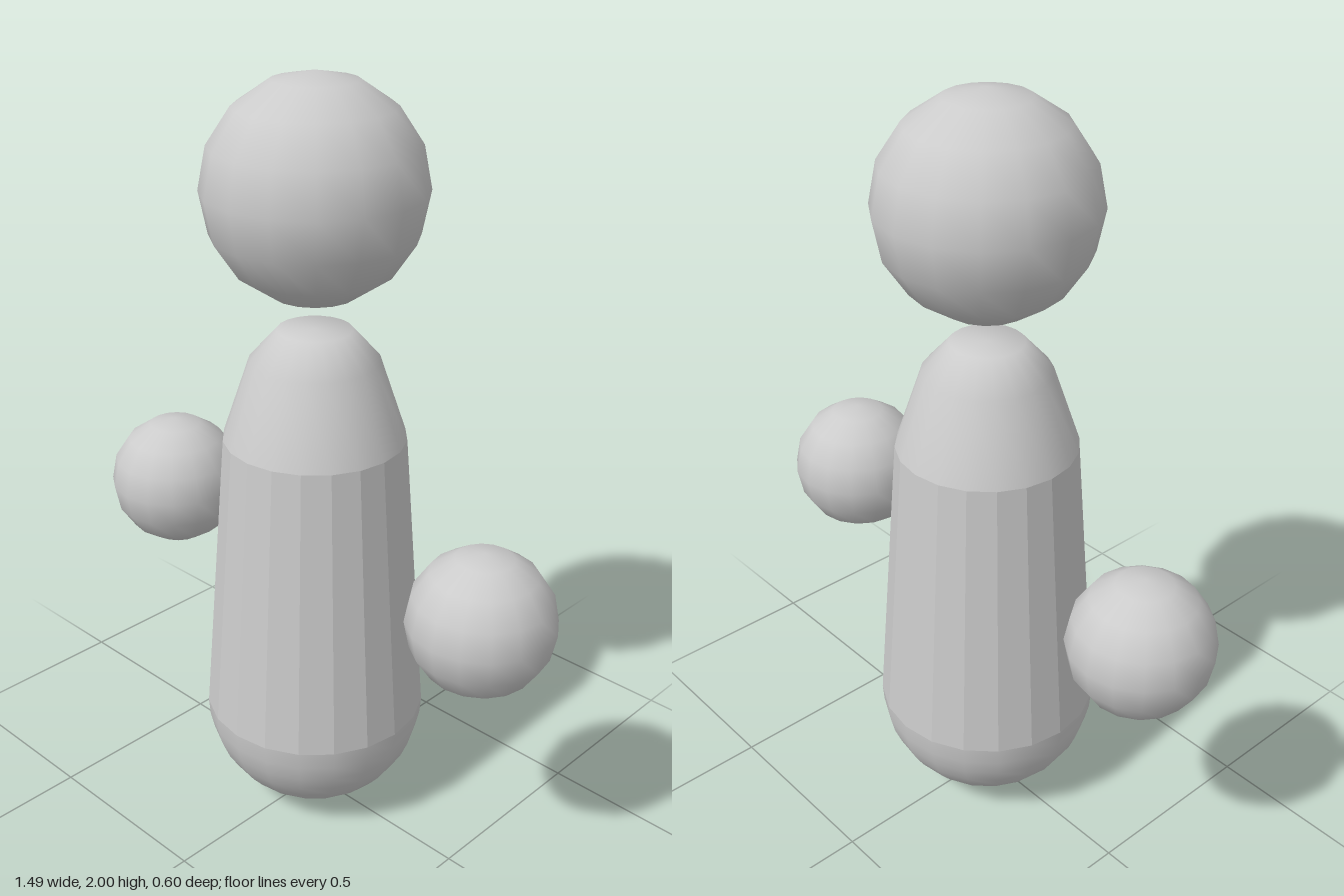
import * as THREE from 'three';

const SIDES = 20;
const smooth = new THREE.MeshStandardMaterial({ color: 0xcccccc });
const faceted = new THREE.MeshStandardMaterial({ color: 0xcccccc, flatShading: true });

function addPart(group, name, geometry, material, x = 0, y = 0) {
  const mesh = new THREE.Mesh(geometry, material);
  mesh.name = name;
  mesh.position.set(x, y, 0);
  group.add(mesh);
}

// Smooth surface of revolution from [radius, height] pairs, bottom to top
function lathe(points) {
  return new THREE.LatheGeometry(points.map(([r, y]) => new THREE.Vector2(r, y)), SIDES);
}

export function createModel() {
  const model = new THREE.Group();
  model.name = 'figure';

  // Floating head
  addPart(model, 'head', new THREE.SphereGeometry(0.277, 16, 8), smooth, 0, 1.723);

  // Floating hands, mirrored
  for (const side of [1, -1]) {
    addPart(model, side > 0 ? 'leftHand' : 'rightHand',
      new THREE.SphereGeometry(0.187, 16, 8), smooth, side * 0.558, 0.775);
  }

  // Rounded base of the body
  const bottom = [];
  const rings = 10;
  for (let i = 0; i <= rings; i++) {
    const a = (i / rings) * Math.PI / 2;
    bottom.push([0.298 * Math.sin(a), 0.302 - 0.302 * Math.cos(a)]);
  }
  addPart(model, 'bodyBase', lathe(bottom), smooth);

  // Tapered, faceted torso
  addPart(model, 'torso',
    new THREE.CylinderGeometry(0.237, 0.298, 0.786, SIDES, 1, true), faceted, 0, 0.695);

  // Shoulders narrowing to a small flat neck
  addPart(model, 'shoulders',
    lathe([[0.237, 1.088], [0.166, 1.297], [0.095, 1.376], [0, 1.376]]), smooth);

  return model;
}
